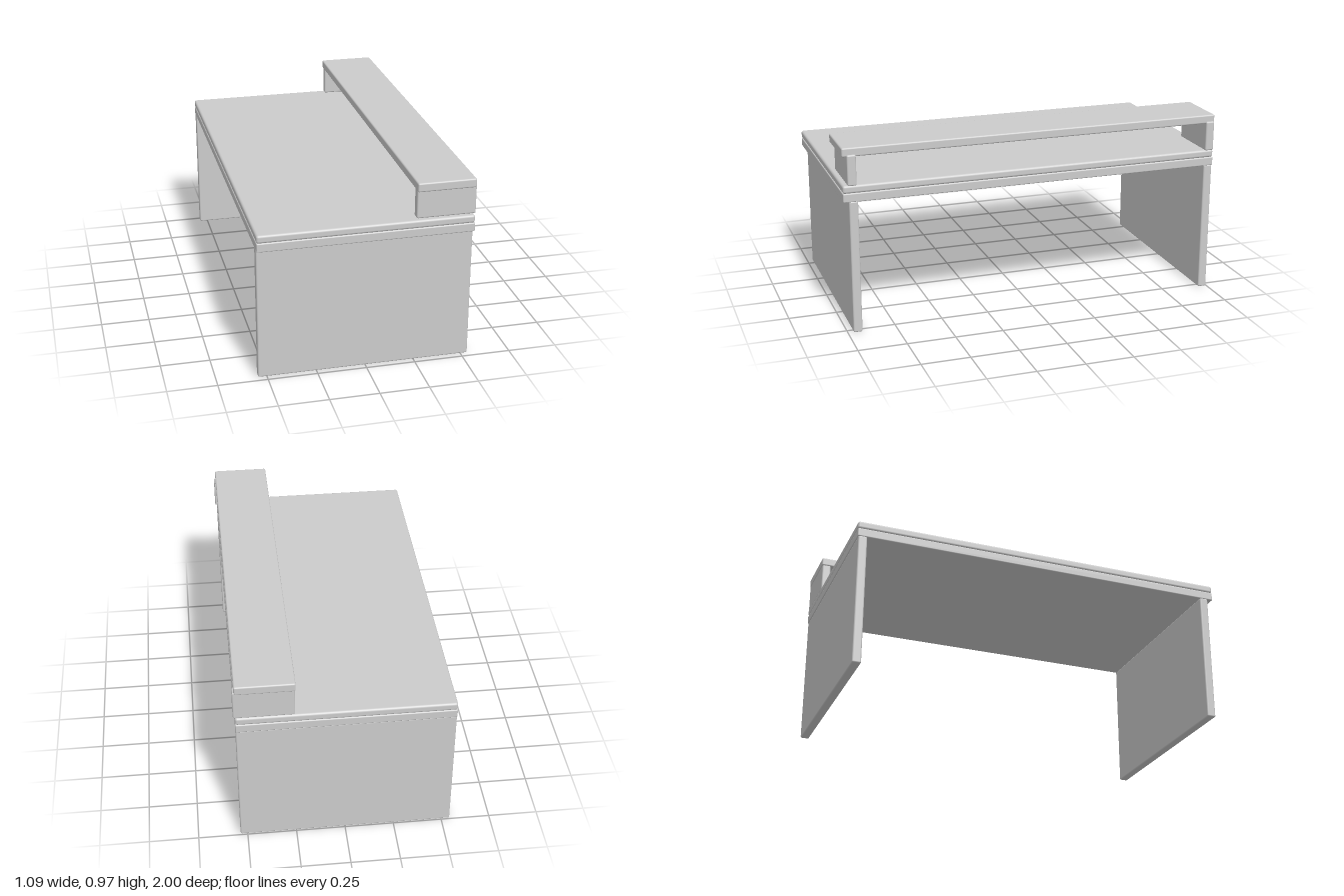
import * as THREE from 'three';
import { RoundedBoxGeometry } from 'three/addons/geometries/RoundedBoxGeometry.js';

export function createModel() {
  const group = new THREE.Group();
  const material = new THREE.MeshStandardMaterial({ color: 0xcccccc });

  // Board with softened edges, given by its extents on each axis
  function board(name, [x0, x1], [y0, y1], [z0, z1], radius = 0.008) {
    const geometry = new RoundedBoxGeometry(x1 - x0, y1 - y0, z1 - z0, 3, radius);
    const mesh = new THREE.Mesh(geometry, material);
    mesh.name = name;
    mesh.position.set((x0 + x1) / 2, (y0 + y1) / 2, (z0 + z1) / 2);
    group.add(mesh);
  }

  // Desk top: two stacked slabs
  const deskX = [-0.545, 0.536];
  board('deskTop', deskX, [0.736, 0.777], [-1, 1], 0.012);
  board('deskTopUnderlay', deskX, [0.691, 0.737], [-1, 1], 0.006);

  // Full-depth end panels that act as legs
  const legX = [-0.544, 0.536], legY = [0, 0.695];
  board('frontLegPanel', legX, legY, [0.925, 0.971]);
  board('backLegPanel', legX, legY, [-0.996, -0.95]);

  // Raised shelf along the +x edge with a short support at each end
  board('shelf', [0.242, 0.536], [0.923, 0.969], [-1, 1]);
  const supportX = [0.246, 0.545], supportY = [0.777, 0.934];
  board('frontShelfSupport', supportX, supportY, [0.931, 0.977]);
  board('backShelfSupport', supportX, supportY, [-0.996, -0.95]);

  return group;
}
